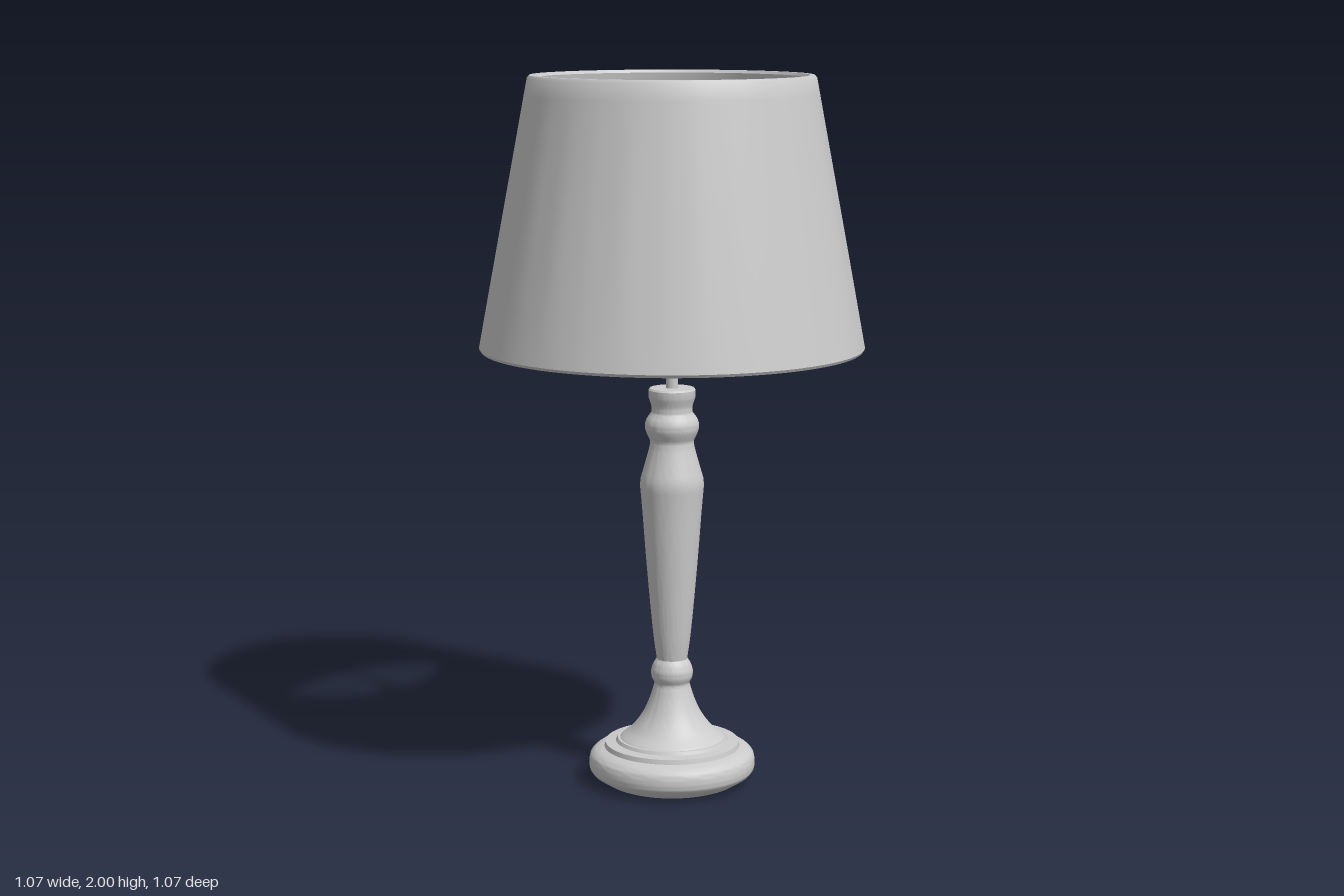
import * as THREE from 'three';
import { toCreasedNormals } from 'three/addons/utils/BufferGeometryUtils.js';

const material = new THREE.MeshStandardMaterial({ color: 0xcccccc });
const V2 = (p) => new THREE.Vector2(p[0], p[1]);

function add(group, name, geometry) {
  const mesh = new THREE.Mesh(geometry, material);
  mesh.name = name;
  group.add(mesh);
  return mesh;
}

// Turned part from [radius, height] pairs, listed from bottom to top
function lathe(points, segments = 64, crease = 0.6) {
  return toCreasedNormals(new THREE.LatheGeometry(points.map(V2), segments), crease);
}

// Smooth curve through a few profile points
function smooth(points, count) {
  return new THREE.SplineCurve(points.map(V2)).getPoints(count).map((p) => [Math.max(p.x, 0), p.y]);
}

export function createModel() {
  const lamp = new THREE.Group();
  lamp.name = 'tableLamp';

  // Foot: rounded disc with stepped top
  add(lamp, 'foot', lathe([
    [0, 0], [0.18, 0], [0.19, 0.004],
    ...smooth([[0.225, 0.026], [0.235, 0.04], [0.236, 0.06], [0.232, 0.08], [0.215, 0.095], [0.193, 0.102]], 14),
    [0.19, 0.115], [0.16, 0.118], [0.155, 0.127], [0, 0.127],
  ]));

  // Flared stem rising from the foot, with a bead
  add(lamp, 'flare', lathe([
    [0.15, 0.125],
    ...smooth([[0.145, 0.13], [0.115, 0.155], [0.085, 0.195], [0.064, 0.24], [0.05, 0.285]], 16),
    ...smooth([[0.05, 0.288], [0.058, 0.305], [0.059, 0.325], [0.052, 0.345], [0.043, 0.358]], 12),
  ]));

  // Tapered column, shoulder and collar
  add(lamp, 'column', lathe([
    ...smooth([[0.043, 0.356], [0.052, 0.42], [0.062, 0.52], [0.074, 0.66], [0.083, 0.78], [0.09, 0.86]], 20),
    ...smooth([[0.088, 0.88], [0.075, 0.925], [0.064, 0.965], [0.061, 0.985]], 8),
    ...smooth([[0.064, 0.993], [0.073, 1.012], [0.076, 1.03], [0.071, 1.048], [0.06, 1.064]], 10),
    ...smooth([[0.057, 1.07], [0.058, 1.085], [0.064, 1.105]], 6),
    [0.066, 1.112], [0.066, 1.13], [0.062, 1.135], [0, 1.135],
  ]));

  // Central rod, socket cup and finial
  const rod = add(lamp, 'rod', new THREE.CylinderGeometry(0.017, 0.017, 0.61, 24));
  rod.position.y = 1.43;
  add(lamp, 'socket', lathe([
    [0, 1.485], [0.04, 1.485], [0.05, 1.495], [0.05, 1.525],
    [0.042, 1.53], [0.042, 1.57], [0.036, 1.58], [0, 1.58],
  ], 32));
  const finial = add(lamp, 'finial', new THREE.SphereGeometry(0.018, 20, 14));
  finial.position.y = 1.735;

  // Four arms that carry the shade, turned up at the wall
  const armPath = new THREE.CatmullRomCurve3([
    [0, 1.715], [0.15, 1.715], [0.3, 1.715], [0.4, 1.715], [0.428, 1.722], [0.43, 1.74],
  ].map(([r, y]) => new THREE.Vector3(r, y, 0)));
  const armGeometry = new THREE.TubeGeometry(armPath, 32, 0.008, 10);
  for (let i = 0; i < 4; i++) {
    add(lamp, 'shadeArm', armGeometry).rotation.y = (i * Math.PI) / 2;
  }

  // Conical shade: hollow wall with faint cloth folds on the outside
  const bottom = 1.245, top = 2;
  const wall = [];
  for (let i = 0; i <= 16; i++) {
    const t = i / 16;
    wall.push([0.535 - 0.139 * t, bottom + 0.008 + (top - bottom - 0.016) * t]);
  }
  const shadeProfile = [
    [0.51, bottom + 0.006], [0.516, bottom], [0.53, bottom],
    ...wall, [0.39, top], [0.376, top], [0.371, top - 0.008], [0.51, bottom + 0.006],
  ];
  const shade = new THREE.LatheGeometry(shadeProfile.map(V2), 160);
  const pos = shade.attributes.position;
  for (let i = 0; i < pos.count; i++) {
    const x = pos.getX(i), y = pos.getY(i), z = pos.getZ(i);
    const t = (y - bottom - 0.008) / (top - bottom - 0.016);
    if (t <= 0.01 || t >= 0.98) continue;
    const a = Math.atan2(z, x);
    const wave = Math.sin(17 * a + 1.5 * t) + 0.7 * Math.sin(29 * a + 1) + 0.5 * Math.sin(7 * a);
    const k = 1 + 0.0016 * wave * Math.sin(Math.PI * t);
    pos.setXYZ(i, x * k, y, z * k);
  }
  add(lamp, 'shade', toCreasedNormals(shade, 0.7));

  return lamp;
}
